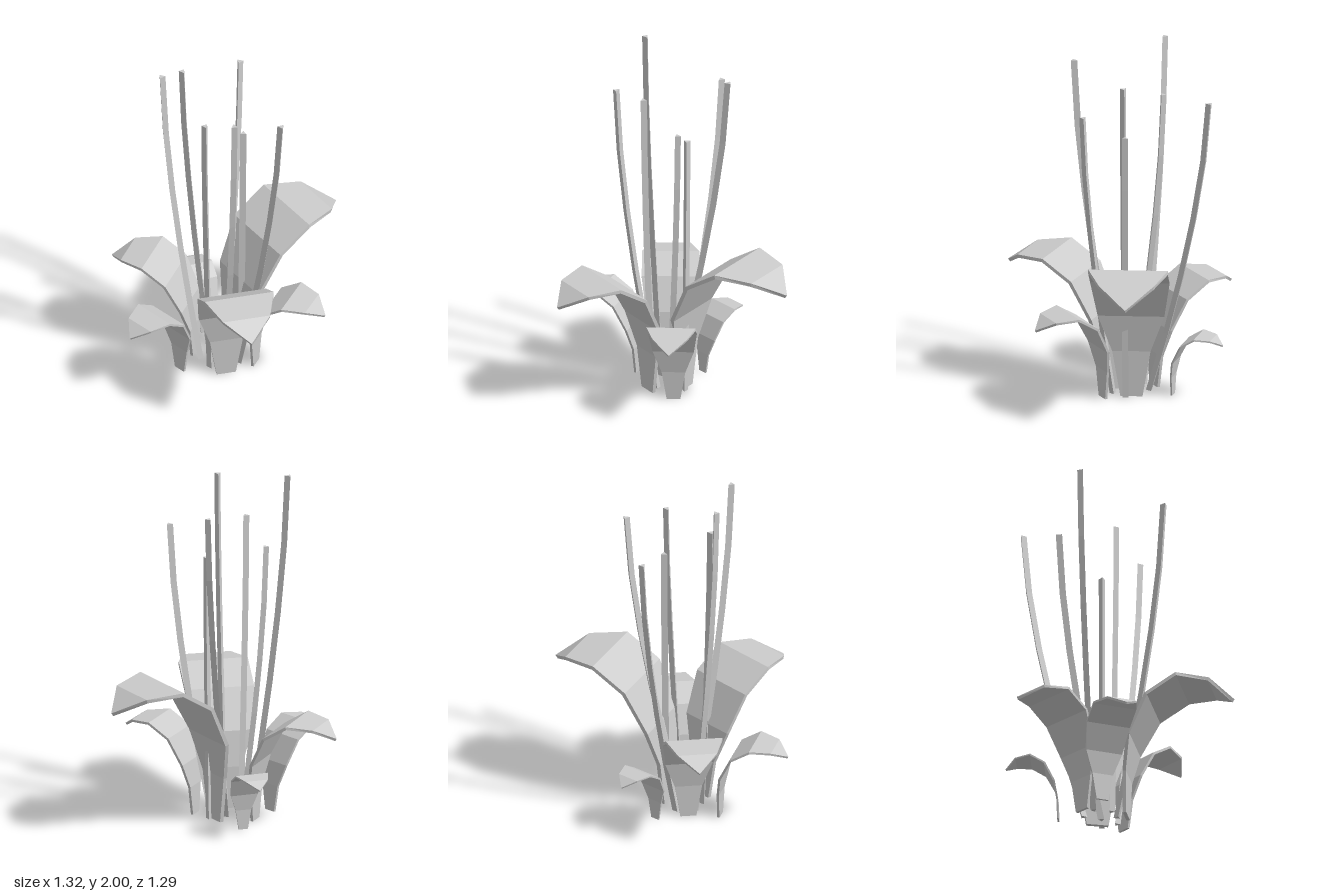
import * as THREE from 'three';

const material = new THREE.MeshStandardMaterial({ color: 0xcccccc, flatShading: true });

// Joins equal-sized rings (anticlockwise seen from the sweep's end) into a capped solid
function loft(rings) {
  const n = rings[0].length, index = [];
  for (let r = 0; r < rings.length - 1; r++) {
    for (let k = 0; k < n; k++) {
      const a = r * n + k, b = r * n + (k + 1) % n;
      index.push(a, b, b + n, a, b + n, a + n);
    }
  }
  const last = (rings.length - 1) * n;
  for (let k = 1; k < n - 1; k++) {
    index.push(0, k + 1, k, last, last + k, last + k + 1);
  }
  const indexed = new THREE.BufferGeometry();
  indexed.setAttribute('position', new THREE.Float32BufferAttribute(rings.flat(2), 3));
  indexed.setIndex(index);
  const geometry = indexed.toNonIndexed();
  geometry.computeVertexNormals();
  return geometry;
}

// Leaf outline: outward reach, height, half width
const LEAF = [
  [0, 0, 0.055], [0.005, 0.24, 0.095], [0.04, 0.44, 0.165], [0.15, 0.66, 0.197],
  [0.325, 0.77, 0.197], [0.505, 0.75, 0.135], [0.625, 0.665, 0.001],
];

// Thin arching blade that leans towards +z and droops to a point
function leafGeometry(thickness = 0.02) {
  return loft(LEAF.map(([z, y, w], i) => {
    const p = LEAF[Math.max(i - 1, 0)], q = LEAF[Math.min(i + 1, LEAF.length - 1)];
    const dz = q[0] - p[0], dy = q[1] - p[1], len = Math.hypot(dz, dy);
    const oz = z + dy / len * thickness;
    const oy = i === 0 ? 0 : y - dz / len * thickness;
    return [[-w, oy, oz], [w, oy, oz], [w, y, z], [-w, y, z]];
  }));
}

// Three-sided stalk that leans towards +z, then straightens up
function stalkGeometry(height, reach, segments = 5) {
  const rings = [];
  for (let i = 0; i <= segments; i++) {
    const t = i / segments, y = t * height;
    const z = reach * (1 - (1 - t) ** 1.5);
    rings.push([[-0.017, y, z + 0.012], [0.017, y, z + 0.012], [0, y, z - 0.02]]);
  }
  return loft(rings);
}

export function createModel() {
  const model = new THREE.Group();
  model.name = 'plant';

  // Leaves: base x, base z, outward direction x and z, scale
  const leafShape = leafGeometry();
  const leaves = [
    ['frontLeaf', -0.08, 0.015, 0, 1, 1],
    ['leftBackLeaf', 0, -0.153, 0.932, -0.364, 1.13],
    ['leftFrontLeaf', 0.094, -0.027, 0.79, 0.61, 0.7],
    ['rightBackLeaf', -0.198, -0.196, -0.815, -0.58, 0.81],
    ['rightFrontLeaf', -0.315, -0.069, -0.857, 0.518, 0.645],
    ['backLeaf', -0.104, -0.353, -0.12, -0.99, 0.48],
  ];
  for (const [name, x, z, dx, dz, scale] of leaves) {
    const leaf = new THREE.Mesh(leafShape, material);
    leaf.name = name;
    leaf.position.set(x, 0, z);
    leaf.rotation.y = Math.atan2(dx, dz);
    leaf.scale.setScalar(scale);
    model.add(leaf);
  }

  // Stalks: base x and z, tip x and z, height
  const stalks = [
    [-0.19, -0.138, -0.4, -0.172, 2],
    [-0.071, -0.03, -0.084, 0.238, 1.9],
    [-0.06, -0.12, 0.1, -0.39, 1.85],
    [-0.115, -0.21, -0.193, -0.54, 1.72],
    [-0.152, -0.046, -0.19, -0.016, 1.73],
    [0.015, -0.047, 0.232, 0.04, 1.69],
    [0.042, -0.135, 0.058, -0.14, 1.54],
  ];
  stalks.forEach(([x, z, tx, tz, height], i) => {
    const stalk = new THREE.Mesh(stalkGeometry(height, Math.hypot(tx - x, tz - z)), material);
    stalk.name = `stalk${i + 1}`;
    stalk.position.set(x, 0, z);
    stalk.rotation.y = Math.atan2(tx - x, tz - z);
    model.add(stalk);
  });

  return model;
}
